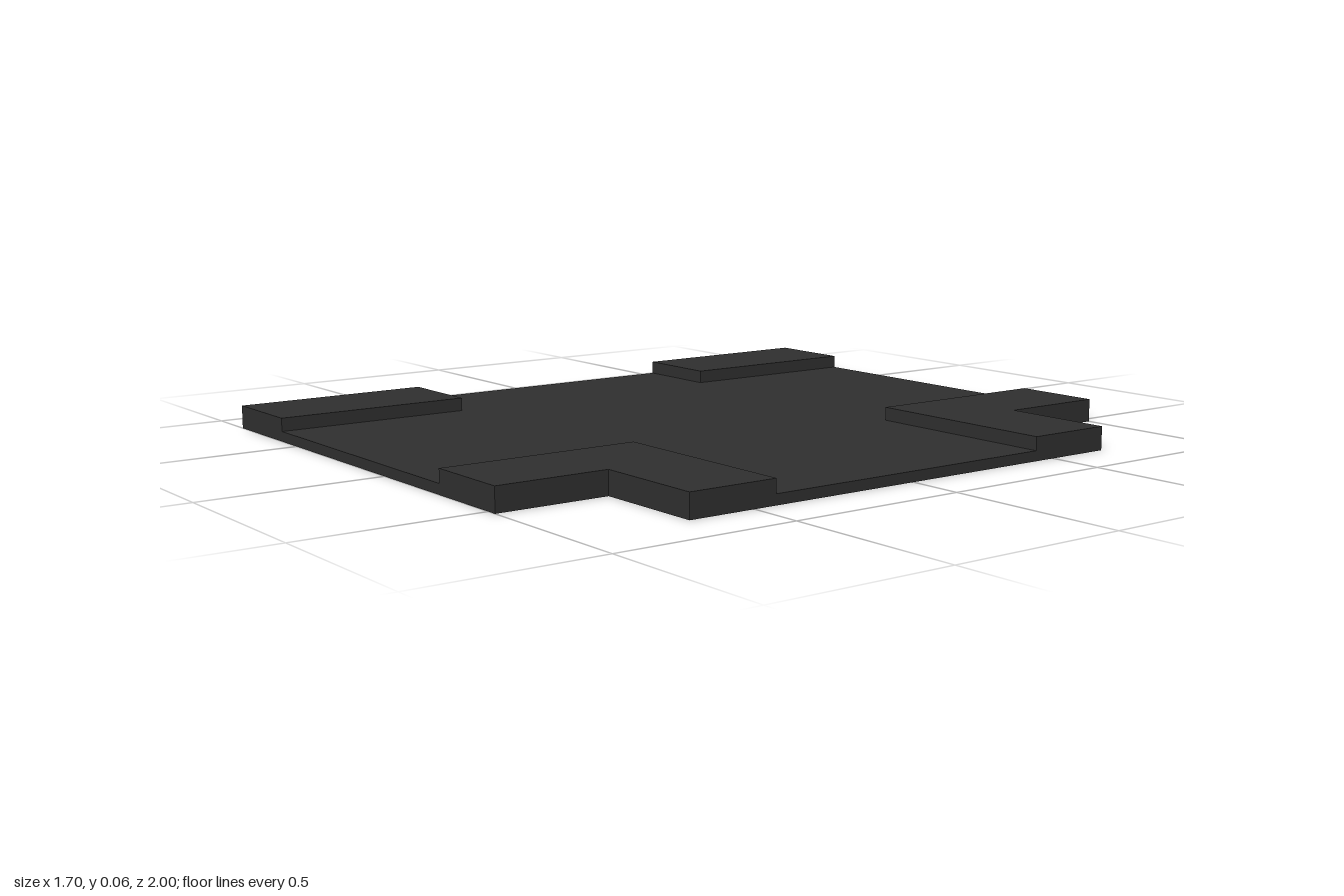
import * as THREE from 'three';

const material = new THREE.MeshStandardMaterial({ color: 0x2e2e2e, flatShading: true });

// Extrudes an outline of [x, z] corners upward from y0 to y1.
function slab(name, outline, y0, y1) {
  const shape = new THREE.Shape(outline.map(([x, z]) => new THREE.Vector2(x, z)));
  const geometry = new THREE.ExtrudeGeometry(shape, { depth: y1 - y0, bevelEnabled: false });
  geometry.rotateX(Math.PI / 2);
  geometry.translate(0, y1, 0);
  const mesh = new THREE.Mesh(geometry, material);
  mesh.name = name;
  return mesh;
}

export function createModel() {
  const group = new THREE.Group();
  group.name = 'notchedPlate';

  const X = 0.85, Z = 1, notchX = 0.53, notchZ = 0.687;
  const plateTop = 0.028, padTop = 0.065;

  // Thin base plate with two notched corners on its left side
  group.add(slab('basePlate', [
    [-X, -Z], [notchX, -Z], [notchX, -notchZ], [X, -notchZ],
    [X, notchZ], [notchX, notchZ], [notchX, Z], [-X, Z],
  ], 0, plateTop));

  // Raised corner pads, front and back
  for (const [side, s] of [['front', 1], ['back', -1]]) {
    const inner = s * 0.435;
    group.add(slab(side + 'RightPad', [
      [-X, inner], [-0.59, inner], [-0.59, s * Z], [-X, s * Z],
    ], plateTop, padTop));
    group.add(slab(side + 'LeftNotchedPad', [
      [0.275, inner], [X, inner], [X, s * notchZ],
      [notchX, s * notchZ], [notchX, s * Z], [0.275, s * Z],
    ], plateTop, padTop));
  }
  return group;
}
